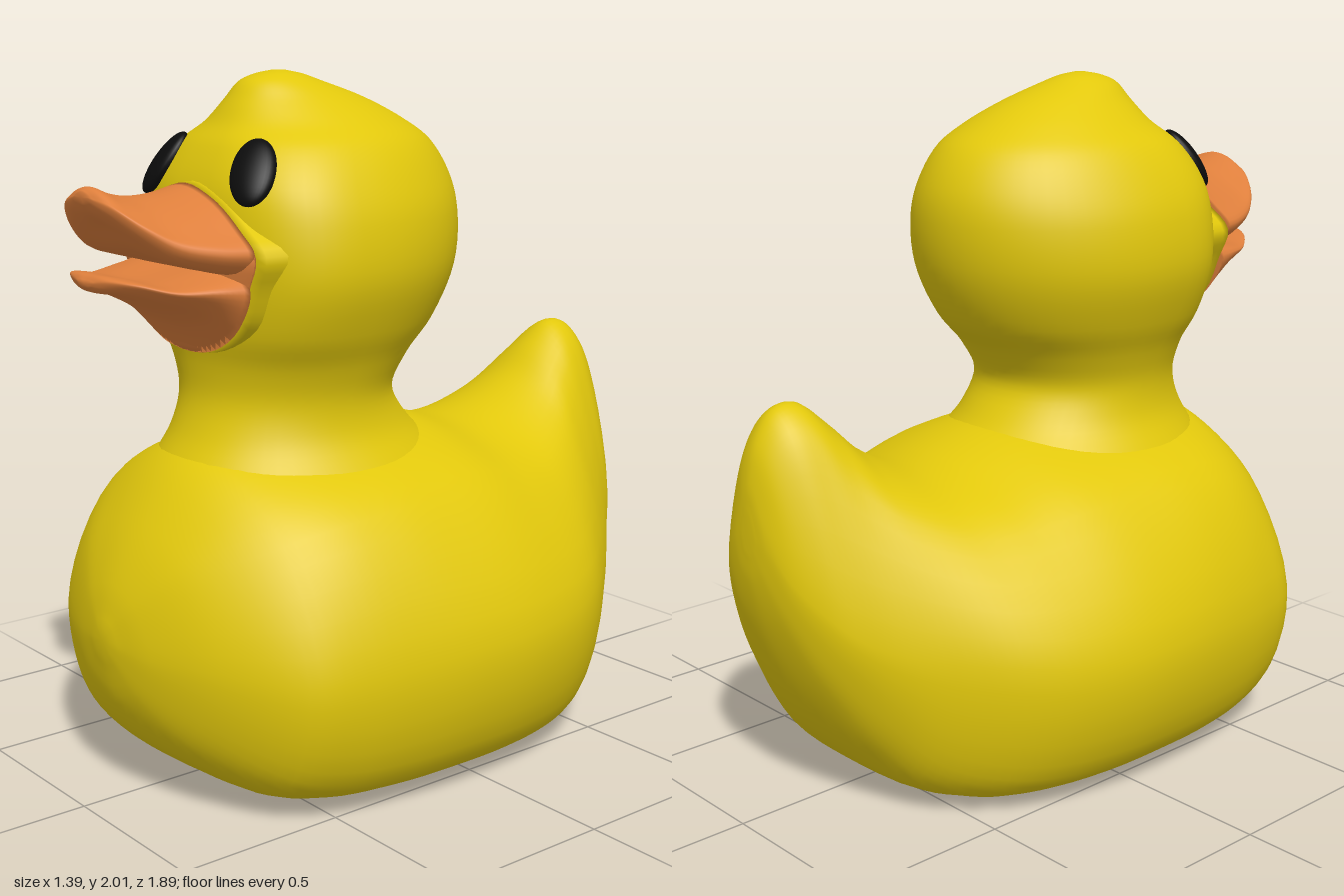
import * as THREE from 'three';

const V = (x, y, z) => new THREE.Vector3(x, y, z);
const material = (color) => new THREE.MeshStandardMaterial({ color, side: THREE.DoubleSide });

// Mirror a half outline [x, y] (top or bottom centre to the opposite centre) into a smooth ring at depth z
function ring(half, z, count = 56) {
  const other = half.slice(1, -1).reverse().map(([x, y]) => [-x, y]);
  const pts = [...half, ...other].map(([x, y]) => V(x, y, z));
  const curve = new THREE.CatmullRomCurve3(pts, true, 'centripetal');
  return Array.from({ length: count }, (_, i) => curve.getPoint(i / count));
}

// Smooth closed skin through a list of rings, with both ends capped
function loft(rings, steps = 5) {
  const n = rings[0].length;
  const rows = (rings.length - 1) * steps + 1;
  const curves = rings[0].map((_, j) => new THREE.CatmullRomCurve3(rings.map((r) => r[j]), false, 'centripetal'));
  const pos = [], idx = [];
  for (let i = 0; i < rows; i++) {
    for (const c of curves) pos.push(...c.getPoint(i / (rows - 1)).toArray());
  }
  for (let i = 0; i < rows - 1; i++) {
    for (let j = 0; j < n; j++) {
      const a = i * n + j, b = i * n + (j + 1) % n;
      idx.push(a, b, a + n, b, b + n, a + n);
    }
  }
  for (const [r, row] of [[rings[0], 0], [rings.at(-1), rows - 1]]) {
    const centre = r.reduce((s, p) => s.add(p), V(0, 0, 0)).divideScalar(n);
    const c = pos.length / 3;
    pos.push(...centre.toArray());
    for (let j = 0; j < n; j++) {
      const a = row * n + j, b = row * n + (j + 1) % n;
      if (row) idx.push(a, b, c); else idx.push(b, a, c);
    }
  }
  // Turn all faces outwards if the enclosed volume is negative
  const at = (i) => V(pos[3 * i], pos[3 * i + 1], pos[3 * i + 2]);
  let volume = 0;
  for (let i = 0; i < idx.length; i += 3) volume += at(idx[i]).dot(at(idx[i + 1]).cross(at(idx[i + 2])));
  if (volume < 0) idx.reverse();
  const g = new THREE.BufferGeometry();
  g.setAttribute('position', new THREE.Float32BufferAttribute(pos, 3));
  g.setIndex(idx);
  g.computeVertexNormals();
  return g;
}

export function createModel() {
  const duck = new THREE.Group();
  const yellow = material(0xe2c80c), orange = material(0xde7f3c), black = material(0x0c0c0c);
  const add = (name, geometry, mat) => {
    const mesh = new THREE.Mesh(geometry, mat);
    mesh.name = name;
    duck.add(mesh);
    return mesh;
  };

  // Body and tail: z, bottom, half width, height of widest point, shoulder x, shoulder y, top
  const body = [
    [0.924, 0.42, 0.04, 0.46, 0.025, 0.49, 0.5],
    [0.89, 0.27, 0.19, 0.45, 0.13, 0.57, 0.62],
    [0.8, 0.13, 0.4, 0.45, 0.28, 0.68, 0.785],
    [0.65, 0.04, 0.585, 0.43, 0.43, 0.75, 0.95],
    [0.5, 0.01, 0.64, 0.43, 0.49, 0.79, 0.99],
    [0.3, 0, 0.675, 0.44, 0.51, 0.81, 1.0],
    [0.1, 0, 0.692, 0.45, 0.5, 0.815, 1.0],
    [-0.1, 0, 0.685, 0.45, 0.48, 0.81, 0.98],
    [-0.3, 0, 0.64, 0.46, 0.44, 0.78, 0.93],
    [-0.45, 0.01, 0.57, 0.48, 0.39, 0.78, 0.945],
    [-0.6, 0.05, 0.455, 0.5, 0.3, 0.84, 1.02],
    [-0.7, 0.14, 0.37, 0.52, 0.22, 0.92, 1.115],
    [-0.78, 0.25, 0.295, 0.56, 0.17, 0.98, 1.175],
    [-0.85, 0.39, 0.23, 0.63, 0.135, 1.0, 1.165],
    [-0.91, 0.56, 0.15, 0.72, 0.09, 0.97, 1.085],
    [-0.938, 0.69, 0.075, 0.81, 0.045, 0.92, 0.98],
    [-0.945, 0.78, 0.025, 0.83, 0.015, 0.87, 0.89],
  ];
  add('body', loft(body.map(([z, bot, w, yw, s, ys, top]) => {
    const round = Math.min(1, bot / 0.22), h = yw - bot; // flat underside, rounded chest and tail
    return ring([
      [0, bot], [0.66 * w, bot + (0.02 + 0.2 * round) * h], [0.89 * w, bot + (0.25 + 0.27 * round) * h],
      [w, yw], [s, ys], [0.5 * s, top - 0.25 * (top - ys)], [0, top],
    ], z);
  })), yellow);

  // Neck, head and crown tuft: height, half width, front z, back z
  const head = [
    [0.7, 0.46, 0.76, -0.24], [0.8, 0.43, 0.73, -0.23],
    [0.9, 0.365, 0.685, -0.19], [1.0, 0.31, 0.625, -0.09], [1.1, 0.3, 0.59, -0.03],
    [1.2, 0.33, 0.59, -0.08], [1.3, 0.38, 0.605, -0.17], [1.45, 0.428, 0.612, -0.24],
    [1.6, 0.42, 0.612, -0.258], [1.7, 0.385, 0.595, -0.24], [1.8, 0.32, 0.545, -0.18],
    [1.86, 0.245, 0.495, -0.095], [1.92, 0.165, 0.455, 0.025], [1.97, 0.1, 0.415, 0.17],
    [1.99, 0.06, 0.37, 0.23], [2.0, 0.02, 0.32, 0.28],
  ];
  // Each slice is an egg with a blunt face and a longer, round back
  add('head', loft(head.map(([y, w, front, back]) => Array.from({ length: 56 }, (_, i) => {
    const a = i / 56 * Math.PI * 2, c = Math.cos(a), s = Math.sin(a);
    const blunt = THREE.MathUtils.smoothstep(y, 1.1, 1.4) * (1 - THREE.MathUtils.smoothstep(y, 1.75, 1.9));
    const e = s > 0 ? 2 / (2.1 + 0.6 * blunt) : 1;
    const mid = back + (0.5 + 0.1 * blunt) * (front - back);
    const reach = s > 0 ? front - mid : mid - back;
    return V(w * Math.sign(c) * Math.abs(c) ** e, y, mid + reach * Math.sign(s) * Math.abs(s) ** e);
  }))), yellow);

  // Yellow cheeks leading into the orange root of the bill
  const muzzle = [[0, 1.705], [0.13, 1.67], [0.24, 1.6], [0.325, 1.53], [0.292, 1.44], [0.24, 1.33], [0.13, 1.26], [0, 1.24]];
  const scaled = (k) => muzzle.map(([x, y]) => [x * k, 1.49 + (y - 1.49) * k]);
  add('cheeks', loft([[0.3, 1.12], [0.47, 1.08], [0.618, 1]].map(([z, k]) => ring(scaled(k), z))), yellow);
  add('billRoot', loft([[0.618, 1], [0.632, 0.94], [0.65, 0.8], [0.66, 0.6]].map(([z, k]) => ring(scaled(k), z))), orange);

  // Upper bill, an arch that flicks up at the tip: z, half width, top, edge, underside
  const upper = [
    [0.62, 0.322, 1.703, 1.54, 1.46], [0.7, 0.3, 1.685, 1.545, 1.495], [0.8, 0.255, 1.68, 1.565, 1.54],
    [0.87, 0.2, 1.693, 1.61, 1.6], [0.92, 0.125, 1.712, 1.66, 1.64], [0.943, 0.035, 1.7, 1.685, 1.67],
  ];
  add('upperBill', loft(upper.map(([z, w, top, edge, under]) => {
    const h = top - edge;
    return ring([[0, top], [0.45 * w, top - 0.22 * h], [0.82 * w, top - 0.68 * h], [w, edge],
      [0.88 * w, edge - 0.32 * h], [0.45 * w, (edge + under) / 2 - 0.2 * h], [0, under]], z);
  })), orange);

  // Lower bill, a shallow scoop: z, half width, top, underside
  const lower = [
    [0.62, 0.3, 1.5, 1.243], [0.7, 0.28, 1.475, 1.335], [0.8, 0.235, 1.458, 1.395],
    [0.88, 0.17, 1.475, 1.425], [0.925, 0.1, 1.48, 1.435], [0.943, 0.03, 1.465, 1.45],
  ];
  add('lowerBill', loft(lower.map(([z, w, top, under]) => {
    const h = top - under;
    return ring([[0, top], [0.6 * w, top], [w, top - 0.22 * h], [0.82 * w, top - 0.65 * h],
      [0.42 * w, under + 0.06 * h], [0, under]], z);
  })), orange);

  // Oval eyes, leaning towards each other
  for (const s of [1, -1]) {
    const eye = add(s > 0 ? 'leftEye' : 'rightEye', new THREE.SphereGeometry(1, 32, 20), black);
    eye.position.set(0.213 * s, 1.742, 0.543);
    eye.lookAt(0.6 * s, 2.34, 1.29);
    eye.rotateZ(0.15 * s);
    eye.scale.set(0.066, 0.104, 0.032);
  }
  return duck;
}
